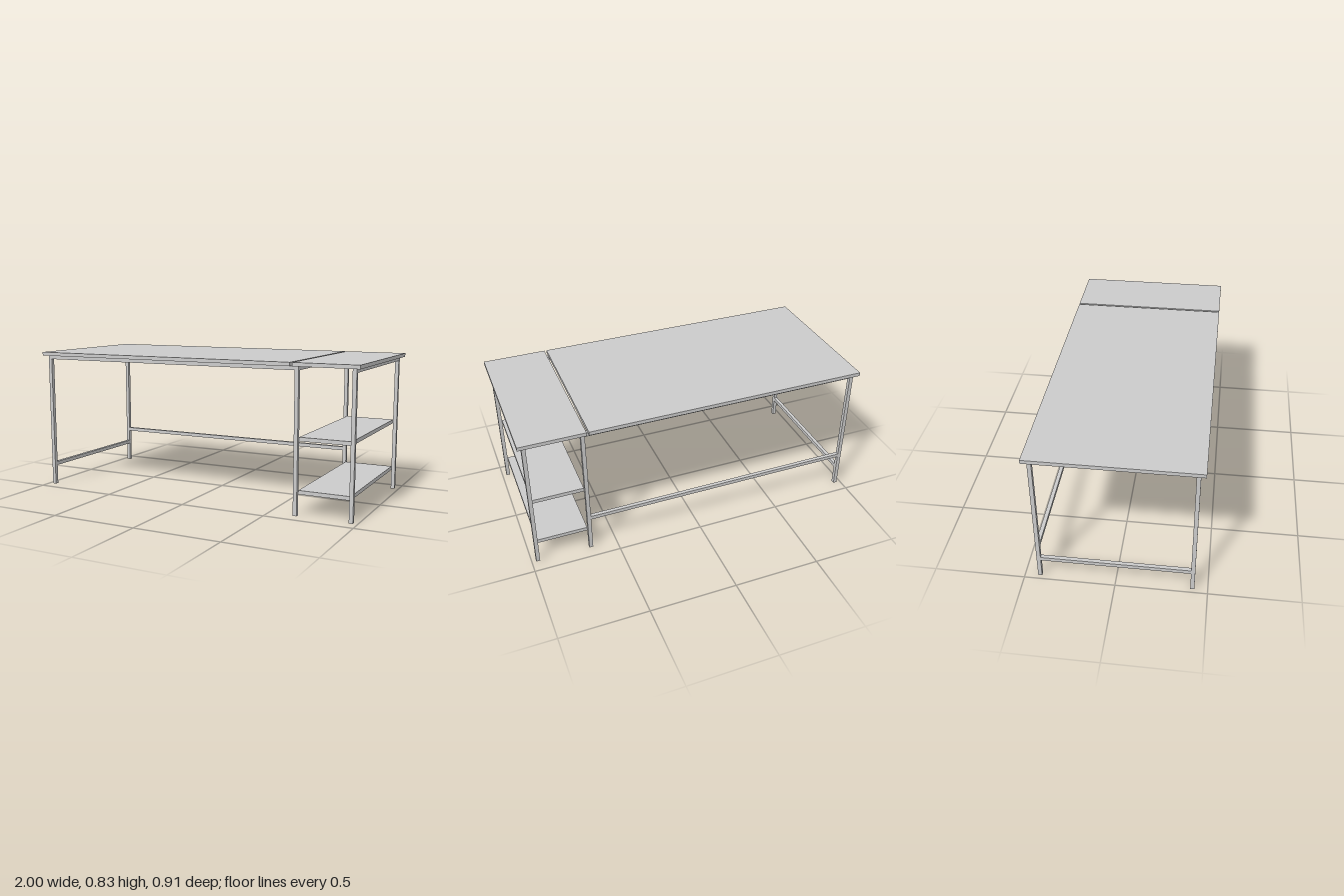
import * as THREE from 'three';

const material = new THREE.MeshStandardMaterial({ color: 0xcccccc });

// Box given by its extents along each axis
function slab(group, name, [x0, x1], [y0, y1], [z0, z1]) {
  const mesh = new THREE.Mesh(new THREE.BoxGeometry(x1 - x0, y1 - y0, z1 - z0), material);
  mesh.position.set((x0 + x1) / 2, (y0 + y1) / 2, (z0 + z1) / 2);
  mesh.name = name;
  group.add(mesh);
}

export function createModel() {
  const desk = new THREE.Group();
  desk.name = 'desk';

  const h = 0.011;                      // half the tube thickness
  const legZ = 0.417, inner = legZ - h;
  const legX = { left: -0.965, middle: 0.652, right: 0.964 };
  const under = 0.805, top = 0.826;
  const railTop = [under - 2 * h, under];
  const around = (c) => [c - h, c + h];
  const depth = [-inner, inner];

  // Worktop and narrower side top with a gap between them
  slab(desk, 'mainTop', [-1, 0.623], [under, top], [-0.455, 0.455]);
  slab(desk, 'sideTop', [0.636, 1], [under, top], [-0.455, 0.455]);

  // Legs in three pairs
  for (const [place, x] of Object.entries(legX))
    for (const s of [1, -1])
      slab(desk, `${place}${s > 0 ? 'Front' : 'Back'}Leg`, around(x), [0, under], around(s * legZ));

  // Long rails between the end legs and the middle legs
  const span = [legX.left + h, legX.middle - h];
  slab(desk, 'frontTopRail', span, railTop, around(legZ));
  slab(desk, 'backTopRail', span, railTop, around(-legZ));
  slab(desk, 'backLowerRail', span, around(0.22), around(-legZ));

  // Cross rails from front to back
  slab(desk, 'middleCrossRail', around(legX.middle), railTop, depth);
  slab(desk, 'rightCrossRail', around(legX.right), railTop, depth);
  slab(desk, 'leftLowerRail', around(legX.left), around(0.127), depth);

  // Shelves under the side top
  for (const [name, y] of [['lowerShelf', 0.127], ['upperShelf', 0.416]])
    slab(desk, name, [legX.middle + h, legX.right - h], around(y), depth);

  return desk;
}
